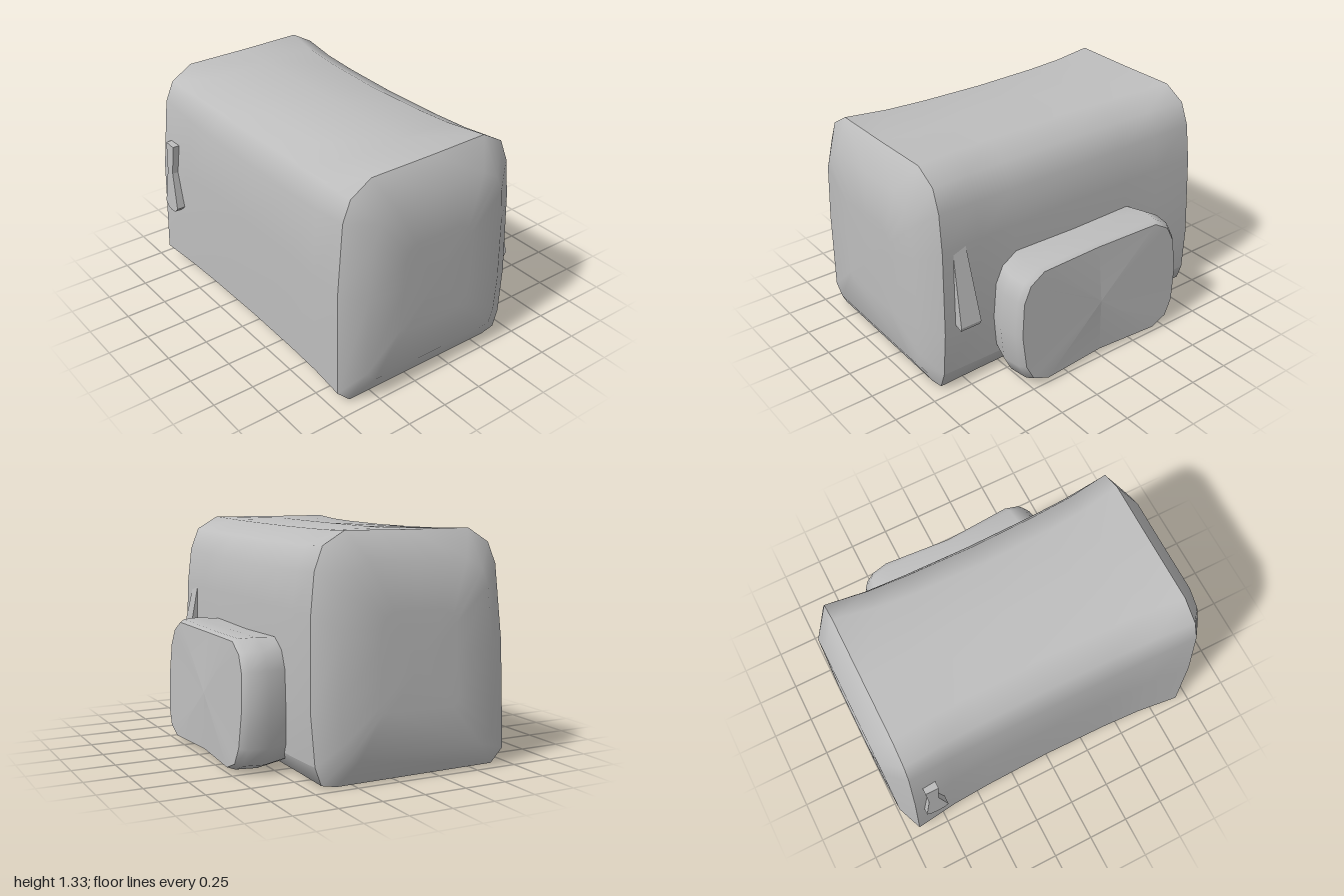
import * as THREE from 'three';

// Skin a list of rings; outward = ring step x profile step.
function loft(rings, closed) {
  const n = rings[0].length, pos = rings.flat(2), idx = [];
  for (let i = 0; i < rings.length - 1; i++) {
    for (let j = 0; j < (closed ? n : n - 1); j++) {
      const k = (j + 1) % n;
      const a = i * n + j, b = i * n + k, c = a + n, d = b + n;
      idx.push(a, d, b, a, c, d);
    }
  }
  const g = new THREE.BufferGeometry();
  g.setAttribute('position', new THREE.Float32BufferAttribute(pos, 3));
  g.setIndex(idx);
  g.computeVertexNormals();
  return g;
}

// Side profiles [z, y], from the front bottom over the top to the back bottom
const END = [[0.72, 0.09], [0.71, 0.7], [0.67, 1.13], [0.62, 1.25], [0.49, 1.33],
  [0.1, 1.33], [-0.27, 1.335], [-0.4, 1.26], [-0.45, 1.13], [-0.475, 0.9], [-0.485, 0.4], [-0.465, 0.12]];
const MID = [[0.66, 0.05], [0.665, 0.7], [0.64, 1.06], [0.58, 1.21], [0.44, 1.31],
  [0.1, 1.325], [-0.2, 1.315], [-0.35, 1.24], [-0.42, 1.1], [-0.45, 0.9], [-0.46, 0.4], [-0.45, 0.1]];
const BASE_END = [[-0.465, 0.12], [-0.43, 0.02], [-0.34, 0.003], [0.64, 0.01], [0.72, 0.09]];
const BASE_MID = [[-0.45, 0.1], [-0.42, 0.02], [-0.34, 0.01], [0.6, 0.015], [0.66, 0.05]];

// Blend the end and middle profiles along the width
const STATIONS = [[-1, 0], [-0.72, 0.6], [-0.45, 0.85], [0, 1], [0.45, 0.85], [0.72, 0.6], [1, 0]];
function section(end, mid, [s, t]) {
  return end.map(([z, y], i) => {
    const w = s < 0 ? 0.93 - 0.04 * y : 0.91 - 0.02 * y;
    return [s * w, y + (mid[i][1] - y) * t, z + (mid[i][0] - z) * t];
  });
}

export function createModel() {
  const model = new THREE.Group();
  const grey = new THREE.MeshStandardMaterial({ color: 0xbebebe });
  grey.name = 'grey';
  const add = (name, geometry, parent = model) => {
    const m = new THREE.Mesh(geometry, grey);
    m.name = name;
    parent.add(m);
    return m;
  };

  // Body shell and underside
  add('bodyShell', loft(STATIONS.map(s => section(END, MID, s)), false));
  add('underside', loft(STATIONS.map(s => section(BASE_END, BASE_MID, s)), false));

  // Bevelled end panels
  for (const side of [-1, 1]) {
    const rim = [...section(END, MID, [side, 0]), ...section(BASE_END, BASE_MID, [side, 0]).slice(1, -1)];
    if (side < 0) rim.reverse();
    const inset = (x, k) => rim.map(([, y, z]) => [side * x, 0.63 + (y - 0.63) * k, 0.12 + (z - 0.12) * k]);
    add(side < 0 ? 'rightPanel' : 'leftPanel', loft([rim, inset(0.99, 0.78), inset(1, 0.4), inset(1, 0)], true));
  }

  // Back pocket: rounded outline bulging at mid depth, with a flat face
  const half = [[0, 0.02], [0.42, 0.015], [0.53, 0.06], [0.58, 0.16], [0.6, 0.37], [0.58, 0.58],
    [0.53, 0.68], [0.43, 0.74], [0, 0.73]];
  const outline = [...half, ...half.slice(1, -1).reverse().map(([x, y]) => [-x, y])];
  const pocketRing = (z, kx, ky, lean = 0) => outline.map(([x, y]) => [
    -0.01 + x * kx, 0.37 + (y - 0.37) * ky,
    z + lean * (0.05 * y + (Math.abs(x) < 0.1 ? 0.025 : 0))]);
  const pocket = new THREE.Group();
  pocket.name = 'backPocket';
  model.add(pocket);
  const rimRing = pocketRing(-0.745, 0.95, 0.96, 1);
  add('pocketSides', loft([pocketRing(-0.4, 0.92, 0.97), pocketRing(-0.58, 1.02, 1.01),
    pocketRing(-0.7, 0.99, 1, 0.6), rimRing], true), pocket);
  add('pocketFace', loft([rimRing, outline.map(() => [-0.01, 0.37, -0.72])], true), pocket);

  // Front pull tab, waisted and wider at the bottom
  const tab = new THREE.Shape([[-0.83, 0.89], [-0.825, 0.7], [-0.86, 0.47], [-0.83, 0.44], [-0.79, 0.432],
    [-0.75, 0.44], [-0.72, 0.47], [-0.765, 0.7], [-0.75, 0.885]].map(p => new THREE.Vector2(...p)));
  const tabGeo = new THREE.ExtrudeGeometry(tab, { depth: 0.085, bevelEnabled: false });
  const tp = tabGeo.attributes.position;
  for (let i = 0; i < tp.count; i++) tp.setZ(i, tp.getZ(i) + 0.66 - 0.05 * Math.max(0, tp.getY(i) - 0.45));
  tabGeo.computeVertexNormals();
  add('frontPullTab', tabGeo);

  // Back clip: a wedge that leans out toward the bottom
  const wedge = new THREE.Shape([[0.42, 0.9], [0.465, 0.9], [0.56, 0.46], [0.55, 0.435], [0.42, 0.43]]
    .map(p => new THREE.Vector2(...p)));
  const clipGeo = new THREE.ExtrudeGeometry(wedge, { depth: 1, bevelEnabled: false });
  const cp = clipGeo.attributes.position;
  for (let i = 0; i < cp.count; i++) {
    const out = cp.getX(i), y = cp.getY(i);
    const width = 0.075 + 0.055 * Math.max(0, (out - 0.45) / 0.11);
    cp.setXYZ(i, 0.78 + (cp.getZ(i) - 0.5) * width, y, -out);
  }
  clipGeo.computeVertexNormals();
  add('backClip', clipGeo);

  return model;
}
